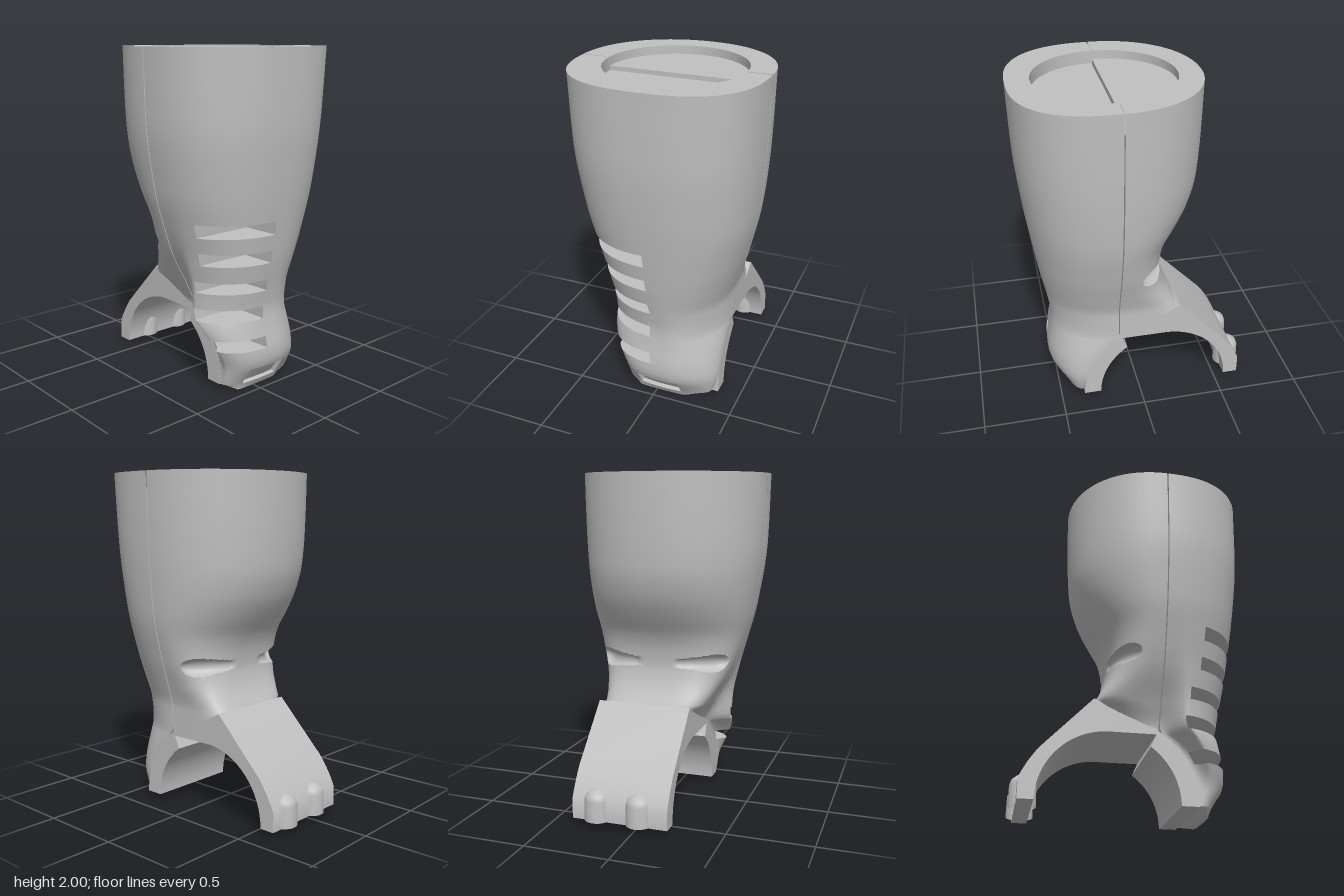
import * as THREE from 'three';
import { toCreasedNormals } from 'three/addons/utils/BufferGeometryUtils.js';

const SEAM = 0.135, GAP = 0.0035, N = 200;
const ARCH = { x: -0.15, y: 0.035, inner: 0.405, outer: 0.51 };
const ARCH_BACK = -0.376, ARCH_DEPTH = 0.578;

// Smooth monotone curve through [y, value] points
function curve(pts) {
  const slope = i => (pts[i + 1][1] - pts[i][1]) / (pts[i + 1][0] - pts[i][0]);
  const m = pts.map((p, i) => {
    if (i === 0) return slope(0);
    if (i === pts.length - 1) return slope(i - 1);
    const a = slope(i - 1), b = slope(i);
    return a * b <= 0 ? 0 : (2 * a * b) / (a + b);
  });
  return y => {
    let i = 0;
    while (i < pts.length - 2 && y > pts[i + 1][0]) i++;
    const h = pts[i + 1][0] - pts[i][0], t = (y - pts[i][0]) / h, u = 1 - t;
    return (1 + 2 * t) * u * u * pts[i][1] + t * u * u * h * m[i]
      + t * t * (3 - 2 * t) * pts[i + 1][1] - t * t * u * h * m[i + 1];
  };
}

// Silhouettes of the shell against height
const leftX = curve([[0, -0.24], [0.46, -0.24], [0.6, -0.25], [0.68, -0.21], [0.77, -0.17], [0.86, -0.155],
  [0.95, -0.165], [1.05, -0.2], [1.15, -0.265], [1.3, -0.345], [1.45, -0.385], [1.7, -0.402], [2, -0.41]]);
const rightX = curve([[0, 0.435], [0.04, 0.457], [0.2, 0.547], [0.24, 0.547], [0.4, 0.525], [0.5, 0.516],
  [0.6, 0.53], [0.8, 0.57], [1, 0.602], [1.3, 0.643], [1.6, 0.67], [2, 0.68]]);
const frontZ = curve([[0, 0.12], [0.04, 0.2], [0.15, 0.215], [0.3, 0.285], [0.45, 0.338], [0.6, 0.345], [0.8, 0.385],
  [1, 0.44], [1.2, 0.492], [1.6, 0.548], [2, 0.56]]);
const seamZ = curve([[0, 0.12], [0.04, 0.2], [0.46, 0.2], [0.6, 0.255], [0.8, 0.36], [1, 0.433],
  [1.2, 0.49], [1.6, 0.548], [2, 0.56]]);
const backZ = curve([[0, -0.19], [0.04, -0.34], [0.2, -0.376], [0.62, -0.378], [0.75, -0.41], [0.9, -0.455],
  [1.2, -0.52], [1.6, -0.55], [2, -0.56]]);

// Squareness of the four quarters against height
const leftFront = curve([[0, 2], [0.46, 2], [0.56, 2.6], [0.6, 3.6], [0.635, 5], [0.7, 4.2], [0.78, 3.3],
  [0.88, 2.7], [1.1, 2.2], [2, 2.1]]);
const leftBack = curve([[0, 8], [0.55, 8], [0.62, 6], [0.7, 4.4], [0.78, 3.4], [0.88, 2.8], [1.1, 2.2], [2, 2.1]]);
const rightFront = curve([[0, 3], [0.04, 2.6], [0.3, 2.8], [0.5, 2.5], [1, 2.4], [2, 2.4]]);
const rightBack = curve([[0, 3], [0.04, 2.1], [0.2, 1.8], [0.5, 1.9], [0.8, 2.2], [1.2, 2.4], [2, 2.7]]);

// Vent slots: bottom, top, nearest x
const SLOTS = [[0.27, 0.34, 0.318], [0.445, 0.52, 0.265], [0.62, 0.69, 0.295], [0.795, 0.87, 0.355], [0.965, 1.045, 0.37]];

// Inner edge of the right half, following the arch below the seam
function startX(y) {
  if (y < 0.04) return 0.42 - y * 1.5;
  const d = ARCH.outer ** 2 - (y - ARCH.y) ** 2;
  return Math.max(SEAM + GAP, d > 0 ? ARCH.x + Math.sqrt(d) : -1);
}

// Point j of N on one half of the shell, running from the back to the front
function shellPoint(side, y, j) {
  const right = side > 0, a = Math.PI * (j / N - 0.5);
  const x0 = right ? startX(y) : SEAM - GAP;
  const w = Math.abs((right ? rightX(y) : leftX(y)) - x0);
  const c = Math.max(0, Math.cos(a)), s = Math.sin(a);
  const power = s > 0 ? (right ? rightFront : leftFront) : (right ? rightBack : leftBack);
  const p = 2 / power(y);
  const mid = (seamZ(y) + backZ(y)) / 2;
  const k = right ? THREE.MathUtils.smoothstep(c, 0, 0.3) : 0;
  const front = THREE.MathUtils.lerp(seamZ(y), frontZ(y), k);
  const depth = s > 0 ? front - mid : mid - backZ(y);
  let x = x0 + side * w * c ** p;
  let z = mid + Math.sign(s) * depth * Math.abs(s) ** p;
  if (right) {
    // Heel notch
    if (y > 0.045 && y < 0.145 && z > -0.165 && z < 0.095 && c > 0.4) x -= 0.03;
  } else {
    // Oval dimples on the ankle, front and back
    const e = ((x + 0.08) / 0.083) ** 2 + ((y - 0.88) / 0.052) ** 2;
    if (e < 1) {
      const push = 0.06 * Math.sqrt(1 - e) * THREE.MathUtils.smoothstep(Math.abs(z - mid), 0.08, 0.18);
      z -= Math.sign(s) * push;
      x += push * 0.3;
    }
  }
  return [x, y, z];
}

// Range of shell columns opened by a slot
function slotSpan([y0, y1, nearX]) {
  const open = j => {
    const [x, , z] = shellPoint(1, (y0 + y1) / 2, j + 0.5);
    return x > nearX && z > 0;
  };
  let first = 0;
  while (!open(first)) first++;
  let last = first;
  while (open(last)) last++;
  return [first, last];
}

function buildGeometry(pos, idx) {
  const g = new THREE.BufferGeometry();
  g.setAttribute('position', new THREE.Float32BufferAttribute(pos, 3));
  g.setIndex(idx);
  return toCreasedNormals(g, 0.6);
}

// Half shell with a flat seam face and slots left open
function halfShell(side, bottom) {
  const ys = new Set([bottom, 0.04, 0.046, 0.144, 0.15, 0.62].filter(y => y >= bottom));
  for (let i = 0; i <= 50; i++) if (i * 0.04 >= bottom) ys.add(+(i * 0.04).toFixed(3));
  if (side > 0) SLOTS.forEach(s => { ys.add(s[0]); ys.add(s[1]); });
  else for (let i = 0; i <= 20; i++) ys.add(+(0.825 + i * 0.0055).toFixed(4));
  const rows = [...ys].sort((a, b) => a - b);
  const spans = SLOTS.map(s => [s[0], s[1], ...slotSpan(s)]);
  const pos = [], idx = [];
  for (const y of rows) for (let j = 0; j <= N; j++) pos.push(...shellPoint(side, y, j));
  const id = (i, j) => i * (N + 1) + j;
  const quad = (a, b, c, d) => side < 0 ? idx.push(a, b, c, a, c, d) : idx.push(a, d, c, a, c, b);
  for (let i = 0; i < rows.length - 1; i++) {
    const y = (rows[i] + rows[i + 1]) / 2;
    for (let j = 0; j < N; j++) {
      const cut = side > 0 && spans.some(s => y > s[0] && y < s[1] && j >= s[2] && j < s[3]);
      if (!cut) quad(id(i, j), id(i, j + 1), id(i + 1, j + 1), id(i + 1, j));
    }
    if (y < 1.88) quad(id(i, N), id(i, 0), id(i + 1, 0), id(i + 1, N));
  }
  // Underside
  for (let j = 0; j < N / 2; j++) quad(id(0, j), id(0, N - j), id(0, N - j - 1), id(0, j + 1));
  return buildGeometry(pos, idx);
}

// Square-cornered notch behind a slot: floor, ceiling and two upright faces
function slotNotch(slot) {
  const [first, last] = slotSpan(slot), n = last - first + 2;
  const pos = [], idx = [];
  for (const y of [slot[0], slot[1]]) {
    pos.push(slot[2], y, 0);
    for (let j = first; j <= last; j++) pos.push(...shellPoint(1, y, j));
  }
  for (let k = 1; k < n - 1; k++) idx.push(0, k + 1, k, n, n + k, n + k + 1);
  idx.push(0, 1, n + 1, 0, n + 1, n, 0, n, 2 * n - 1, 0, 2 * n - 1, n - 1);
  return buildGeometry(pos, idx);
}

export function createModel() {
  const grey = new THREE.MeshStandardMaterial({ color: 0xc0c0c0, side: THREE.DoubleSide });
  grey.name = 'plain grey';
  const model = new THREE.Group();
  model.name = 'legShell';
  const add = (name, geometry) => {
    const m = new THREE.Mesh(geometry, grey);
    m.name = name;
    model.add(m);
    return m;
  };

  add('rightHalfShell', halfShell(-1, 0.45));
  add('leftHalfShell', halfShell(1, 0));
  SLOTS.forEach(s => add('ventSlot', slotNotch(s)));

  // Top rim and recessed floor, one half at a time
  const R = 0.405, CZ = -0.012;
  for (const side of [-1, 1]) {
    const shape = new THREE.Shape(), cx = SEAM + side * GAP;
    for (let j = 0; j <= N; j += 2) {
      const [x, , z] = shellPoint(side, 2, j);
      j ? shape.lineTo(x, -z) : shape.moveTo(x, -z);
    }
    for (let j = 0; j <= 32; j++) {
      const a = Math.PI / 2 - (Math.PI * j) / 32;
      shape.lineTo(cx + side * R * Math.cos(a), -(CZ + R * Math.sin(a)));
    }
    add('topRim', new THREE.ShapeGeometry(shape).rotateX(-Math.PI / 2)).position.y = 2;
    const floorY = side < 0 ? 1.95 : 1.925;
    const start = side > 0 ? 0 : Math.PI;
    const wall = new THREE.CylinderGeometry(R, R, 2 - floorY, 32, 1, true, start, Math.PI);
    add('recessWall', wall).position.set(cx, (2 + floorY) / 2, CZ);
    const floor = new THREE.CircleGeometry(R, 32, side > 0 ? -Math.PI / 2 : Math.PI / 2, Math.PI).rotateX(-Math.PI / 2);
    add('recessFloor', floor).position.set(cx, floorY, CZ);
  }
  add('floorStep', new THREE.BoxGeometry(0.006, 0.04, 2 * R)).position.set(SEAM - GAP, 1.93, CZ);

  // Arched arm and the opposite end of the arch
  const extrude = shape => toCreasedNormals(new THREE.ExtrudeGeometry(shape,
    { depth: ARCH_DEPTH, bevelEnabled: false, curveSegments: 40 }).translate(0, 0, ARCH_BACK), 0.5);
  const arm = new THREE.Shape();
  arm.moveTo(ARCH.x - ARCH.inner, ARCH.y);
  arm.absarc(ARCH.x, ARCH.y, ARCH.inner, Math.PI, Math.PI / 2, true);
  arm.lineTo(SEAM - GAP, 0.44);
  arm.lineTo(SEAM - GAP, 0.465);
  arm.quadraticCurveTo(0.06, 0.51, -0.1, 0.56);
  arm.lineTo(-0.24, 0.635);
  arm.lineTo(-0.54, 0.325);
  arm.quadraticCurveTo(-0.61, 0.235, -0.645, 0.15);
  arm.lineTo(-0.645, ARCH.y);
  add('archArm', extrude(arm));

  const end = new THREE.Shape();
  end.absarc(ARCH.x, ARCH.y, ARCH.outer, 0, 0.99, false);
  end.absarc(ARCH.x, ARCH.y, ARCH.inner, 0.95, 0, true);
  add('archEnd', extrude(end));

  // Rounded knuckles on the end of the arm
  const knuckle = new THREE.LatheGeometry([[0.078, 0], [0.076, 0.12], [0.066, 0.15], [0.04, 0.172], [0, 0.182]]
    .map(p => new THREE.Vector2(...p)), 24);
  for (const z of [-0.235, 0.02]) add('knuckle', knuckle).position.set(-0.607, ARCH.y, z);

  return model;
}
